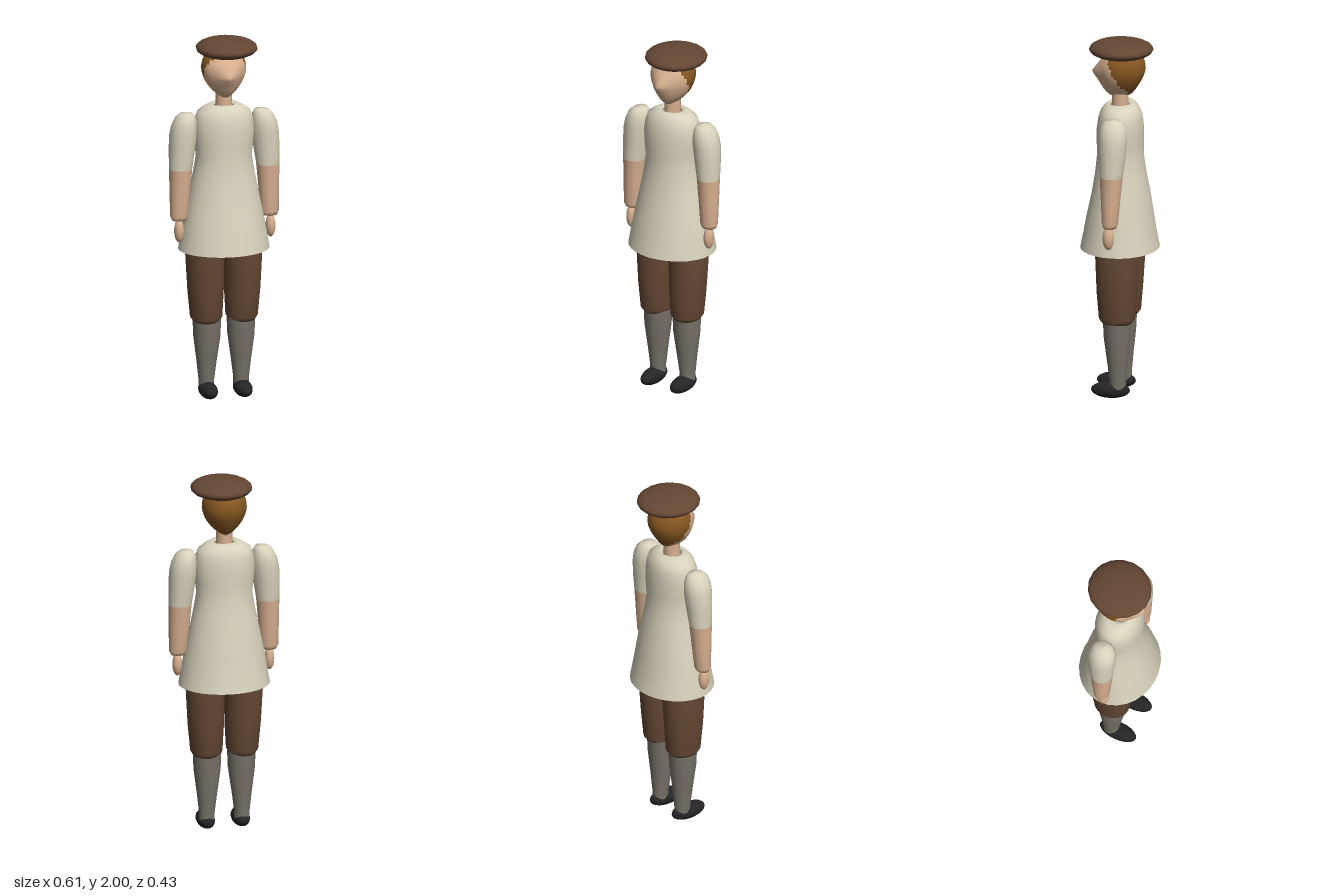
import * as THREE from 'three';

const mat = (name, color, side = THREE.FrontSide) => {
  const m = new THREE.MeshStandardMaterial({ color, side });
  m.name = name;
  return m;
};

// Skin over stacked oval rings, listed bottom to top: [y, centreX, centreZ, radiusX, radiusZ].
// An optional rule sets z; an optional test sends faces to a second material group.
function loft(rings, seg, zRule, isSecond) {
  const pos = [], groups = [[], []];
  rings.forEach((r, j) => {
    for (let i = 0; i < seg; i++) {
      const a = (i / seg) * Math.PI * 2;
      const x = r[1] + r[3] * Math.sin(a);
      const z = zRule ? zRule(r, a, x) : r[2] + r[4] * Math.cos(a);
      pos.push(x, r[0], z);
      if (j === rings.length - 1) continue;
      const n = (i + 1) % seg, lo = j * seg, hi = lo + seg;
      groups[0].push([lo + i, lo + n, hi + n, hi + i]);
    }
  });
  if (isSecond) {
    const all = groups[0];
    const mid = (q, k) => q.reduce((s, v) => s + pos[v * 3 + k], 0) / 4;
    groups[0] = all.filter(q => !isSecond(mid(q, 1), mid(q, 2)));
    groups[1] = all.filter(q => isSecond(mid(q, 1), mid(q, 2)));
  }
  const tris = groups.map(g => g.flatMap(([a, b, c, d]) => [a, b, c, a, c, d]));
  const geo = new THREE.BufferGeometry();
  geo.setAttribute('position', new THREE.Float32BufferAttribute(pos, 3));
  geo.setIndex([...tris[0], ...tris[1]]);
  if (isSecond) {
    geo.addGroup(0, tris[0].length, 0);
    geo.addGroup(tris[0].length, tris[1].length, 1);
  }
  geo.computeVertexNormals();
  return geo;
}

export function createModel() {
  const model = new THREE.Group();
  model.name = 'figure';
  const cloth = mat('tunicLinen', 0xd9d3bd, THREE.DoubleSide);
  const skin = mat('skin', 0xd8b090);
  const brown = mat('brownWool', 0x644733);
  const hair = mat('hair', 0x855621);
  const sock = mat('greyStocking', 0x78736a);
  const black = mat('blackLeather', 0x252527);

  const add = (name, geo, material) => {
    const mesh = new THREE.Mesh(geo, material);
    mesh.name = name;
    model.add(mesh);
    return mesh;
  };
  const ellipsoid = (name, material, p, s, w = 20, h = 14) => {
    const mesh = add(name, new THREE.SphereGeometry(1, w, h), material);
    mesh.position.set(...p);
    mesh.scale.set(...s);
  };

  // Tunic, open at the hem and collar
  add('tunic', loft([
    [0.83, 0, 0, 0.25, 0.215], [0.92, 0, 0, 0.235, 0.197], [1.02, 0, -0.002, 0.217, 0.18],
    [1.14, 0, -0.006, 0.193, 0.158], [1.25, 0, -0.004, 0.17, 0.138], [1.35, 0, -0.002, 0.153, 0.126],
    [1.42, 0, -0.002, 0.162, 0.127], [1.5, 0, -0.002, 0.167, 0.127], [1.56, 0, -0.003, 0.16, 0.12],
    [1.6, 0, -0.004, 0.145, 0.108], [1.625, 0, -0.002, 0.11, 0.087], [1.642, 0, 0, 0.078, 0.065],
    [1.63, 0, 0, 0.055, 0.052],
  ], 28), cloth);

  // Neck
  add('neck', loft([[1.55, 0, 0, 0.046, 0.046], [1.74, 0, -0.003, 0.043, 0.045]], 18), skin);

  // Head rings: [y, front base z, back z, radiusX, nose length]
  const headRings = [
    [1.678, 0.02, -0.01, 0.002, 0], [1.685, 0.058, -0.05, 0.025, 0], [1.7, 0.07, -0.07, 0.046, 0.005],
    [1.72, 0.082, -0.086, 0.067, 0.01], [1.74, 0.09, -0.099, 0.084, 0.015], [1.76, 0.097, -0.111, 0.098, 0.021],
    [1.78, 0.104, -0.122, 0.108, 0.029], [1.8, 0.109, -0.131, 0.115, 0.037], [1.815, 0.111, -0.136, 0.119, 0.042],
    [1.835, 0.112, -0.14, 0.122, 0.027], [1.855, 0.11, -0.139, 0.121, 0.014], [1.875, 0.103, -0.135, 0.117, 0.005],
    [1.9, 0.088, -0.125, 0.107, 0], [1.925, 0.07, -0.105, 0.088, 0], [1.95, 0.002, -0.002, 0.002, 0],
  ].map(([y, f, b, rx, nose]) => [y, 0, f, rx, b, nose]);
  const headZ = ([, , front, , back, nose], a, x) => {
    const c = Math.cos(a);
    return c > 0 ? front * c + nose * Math.max(0, 1 - Math.abs(x) / 0.075) : -back * c;
  };
  // Hairline slopes backward from temple to nape
  const hairline = y => (y > 1.81 ? 0.02 + (y - 1.81) * 0.4 : 0.02 - (1.81 - y) * 0.68);
  add('headWithHair', loft(headRings, 44, headZ, (y, z) => z < hairline(y)), [skin, hair]);

  // Beret, worn slightly to one side
  ellipsoid('beret', brown, [0.018, 1.948, -0.01], [0.168, 0.053, 0.175], 18, 14);

  for (const s of [1, -1]) {
    const side = s > 0 ? 'left' : 'right';
    const mirrored = rows => rows.map(([y, x, ...rest]) => [y, s * x, ...rest]);

    // Sleeve and bare forearm
    add(side + 'Sleeve', loft(mirrored([
      [1.29, 0.243, 0.008, 0.063, 0.063], [1.4, 0.235, 0.004, 0.072, 0.073], [1.48, 0.228, 0.002, 0.075, 0.078],
      [1.53, 0.222, 0.002, 0.07, 0.077], [1.57, 0.216, 0.002, 0.058, 0.066], [1.593, 0.21, 0.002, 0.04, 0.045],
      [1.6, 0.205, 0.002, 0.001, 0.001],
    ]), 14), cloth);
    add(side + 'Forearm', loft(mirrored([
      [1.0, 0.252, 0.015, 0.001, 0.001], [1.003, 0.252, 0.015, 0.04, 0.034], [1.025, 0.252, 0.014, 0.05, 0.044],
      [1.15, 0.248, 0.011, 0.056, 0.053], [1.29, 0.243, 0.008, 0.063, 0.063],
    ]), 14), skin);
    ellipsoid(side + 'Hand', skin, [s * 0.255, 0.945, 0.022], [0.027, 0.065, 0.032], 14, 12);

    // Breeches leg, gathered under the knee
    add(side + 'BreechesLeg', loft(mirrored([
      [0.422, 0.1, 0, 0.001, 0.001], [0.425, 0.1, 0, 0.07, 0.08], [0.45, 0.099, 0, 0.087, 0.099],
      [0.6, 0.102, 0, 0.098, 0.111], [0.82, 0.106, -0.003, 0.106, 0.122], [1.0, 0.09, -0.003, 0.09, 0.115],
      [1.002, 0.09, 0, 0.001, 0.001],
    ]), 24), brown);

    // Stocking and shoe
    add(side + 'Stocking', loft(mirrored([
      [0.05, 0.097, -0.004, 0.042, 0.044], [0.1, 0.097, -0.004, 0.043, 0.045], [0.2, 0.096, -0.002, 0.055, 0.056],
      [0.34, 0.095, 0, 0.074, 0.073], [0.44, 0.095, 0, 0.078, 0.078],
    ]), 20), sock);
    ellipsoid(side + 'Shoe', black, [s * 0.097, 0.045, 0.036], [0.049, 0.045, 0.107]);
  }
  return model;
}
